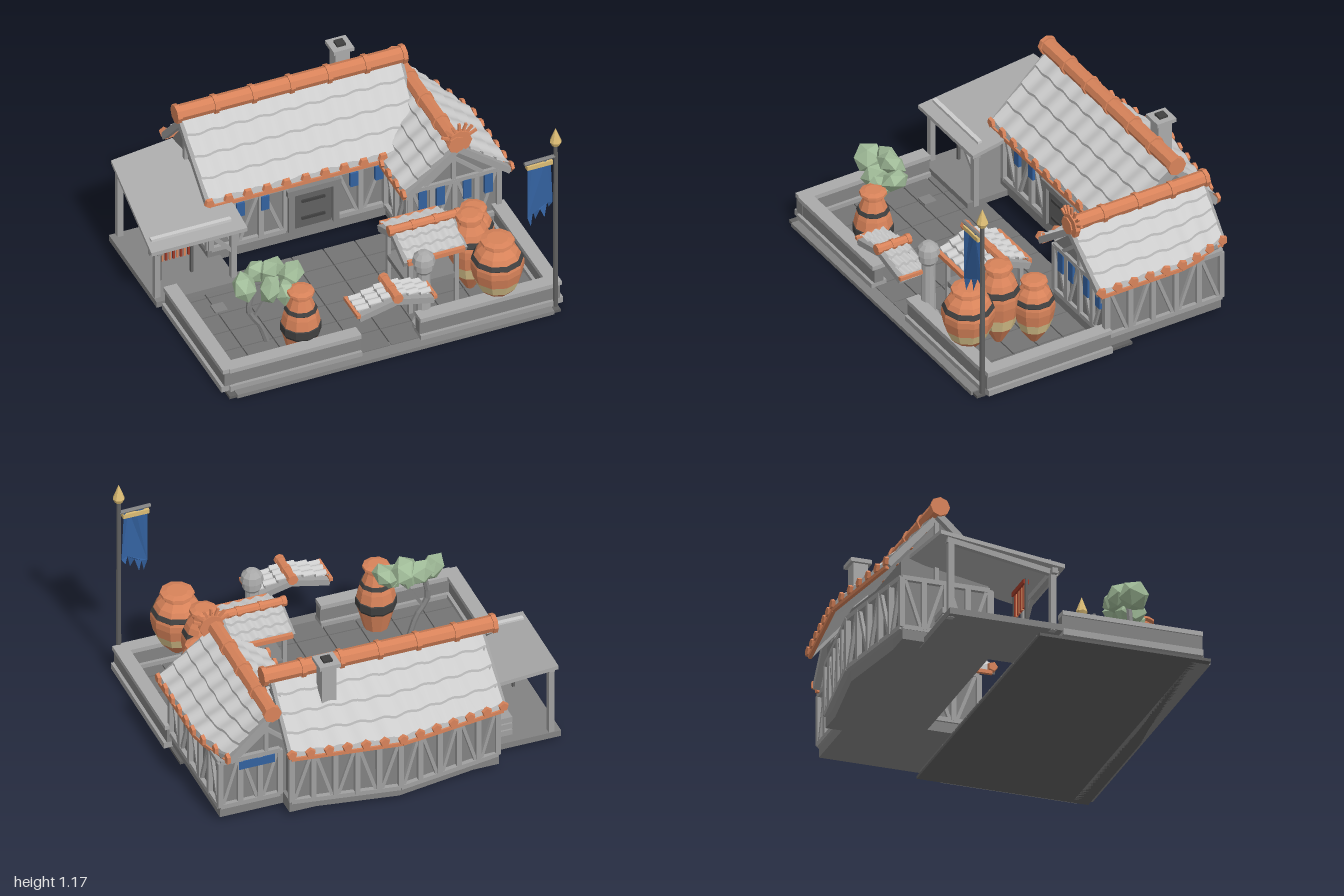
import * as THREE from 'three';

const V = (x, y, z) => new THREE.Vector3(x, y, z);
const GREY = 0xcccccc, TIMBER = 0xa0a0a0, PLASTER = 0x828282, STONE = 0xaaaaaa, PAVING = 0x747474, SLATE = 0x606060, DARK = 0x404040;
const CLAY = 0xd8835a, BEIGE = 0xdcc68e, GOLD = 0xdcbc74, BLUE = 0x33619f, LEAF = 0xa0bb98, RED = 0xa03a28;
const UP = V(0, 1, 0);

export function createModel() {
  const root = new THREE.Group();
  const add = (name, geo, color = GREY, pos = V(0, 0, 0), flat = true) => {
    const mesh = new THREE.Mesh(geo, new THREE.MeshStandardMaterial({ color, flatShading: flat, side: THREE.DoubleSide }));
    mesh.name = name;
    mesh.position.copy(pos);
    root.add(mesh);
    return mesh;
  };
  const box = (name, w, h, d, x, y, z, color) => add(name, new THREE.BoxGeometry(w, h, d), color, V(x, y, z));
  const rod = (name, a, b, r0, r1 = r0, sides = 8, color = SLATE) => {
    const d = b.clone().sub(a);
    const m = add(name, new THREE.CylinderGeometry(r1, r0, d.length(), sides), color, a.clone().lerp(b, 0.5));
    m.quaternion.setFromUnitVectors(UP, d.normalize());
    return m;
  };
  const beam = (name, a, b, t = 0.022, color = TIMBER) => {
    const m = add(name, new THREE.BoxGeometry(t, t, a.distanceTo(b)), color, a.clone().lerp(b, 0.5));
    m.lookAt(b);
    return m;
  };
  const extrude = (pts, depth) => new THREE.ExtrudeGeometry(
    new THREE.Shape(pts.map(p => new THREE.Vector2(...p))), { depth, bevelEnabled: false });

  // Roof slope from ridge to eave, as a function of u (along) and v (down)
  const slope = (r0, r1, e0, e1, bow = () => V(0, 0, 0)) => (u, v) =>
    r0.clone().lerp(r1, u).lerp(e0.clone().lerp(e1, u).add(bow(u)), v);
  // Overlapping rows of wavy tiles with a plain underside
  const tileRoof = (name, f, rows, waves) => {
    const strips = [[[0, -0.025], [1, -0.025]], [[1, -0.025], [1, 0.012]]], pos = [], idx = [], cols = waves * 6;
    for (let i = 0; i < rows; i++) {
      const a = i / rows, b = (i + 1) / rows;
      strips.push([[a, 0], [b, 0.016]], [[b, 0.016], [b, -0.004]]);
    }
    for (const strip of strips) {
      const base = pos.length / 3;
      for (let c = 0; c <= cols; c++) for (const [v, lift] of strip) {
        const p = f(c / cols, v);
        pos.push(p.x, p.y + lift + (lift < -0.02 ? 0 : 0.007 * Math.cos(c / 6 * Math.PI * 2)), p.z);
      }
      for (let c = 0; c < cols; c++) {
        const k = base + c * 2;
        idx.push(k, k + 1, k + 2, k + 1, k + 3, k + 2);
      }
    }
    const g = new THREE.BufferGeometry();
    g.setAttribute('position', new THREE.Float32BufferAttribute(pos, 3));
    g.setIndex(idx);
    g.computeVertexNormals();
    add(name, g, GREY, V(0, 0, 0), false);
    for (const u of [0, 1]) beam(name + 'Verge', f(u, 0).add(V(0, -0.02, 0)), f(u, 1).add(V(0, -0.02, 0)), 0.035);
  };
  // Clay fascia with five-sided tile ends along an eave
  const eaveTrim = (name, f, n, dir, u0 = 0, u1 = 1) => {
    for (let i = 0; i <= n; i++) {
      const at = k => f(u0 + (u1 - u0) * k / n, 1);
      const p = at(i);
      rod(name + 'End', p, p.clone().addScaledVector(dir, 0.018), 0.03, 0.026, 5, CLAY);
      if (i < n) beam(name + 'Fascia', p.clone().setY(p.y - 0.03), at(i + 1).setY(at(i + 1).y - 0.03), 0.02, CLAY);
    }
  };
  const ridge = (name, a, b, r, bands) => {
    rod(name, a, b, r, r, 8, CLAY);
    const d = b.clone().sub(a).normalize().multiplyScalar(0.012);
    for (let i = 0; i <= bands; i++) {
      const p = a.clone().lerp(b, i / bands);
      rod(name + 'Band', p.clone().sub(d), p.clone().add(d), r * 1.18, r * 1.18, 8, CLAY);
    }
  };
  // Timber framing along a wall: posts, rails and alternating braces
  const frame = (name, [ax, az], [bx, bz], bays, y0 = 0.1, y1 = 0.38) => {
    const at = (t, y) => V(ax + (bx - ax) * t, y, az + (bz - az) * t);
    for (const y of [y0, y1]) beam(name + 'Rail', at(0, y), at(1, y), 0.026);
    for (let i = 0; i <= bays; i++) {
      beam(name + 'Post', at(i / bays, y0), at(i / bays, y1), 0.028);
      if (i === bays) break;
      const k = i % 2;
      beam(name + 'Brace', at((i + 0.12 + 0.76 * k) / bays, y1), at((i + 0.88 - 0.76 * k) / bays, y0), 0.018);
    }
  };

  // Courtyard paving
  box('courtyardSlab', 1.86, 0.016, 0.94, 0.01, 0.008, 0.38, SLATE);
  box('frontKerb', 1.78, 0.022, 0.1, 0.01, 0.011, 0.81, PLASTER);
  for (let i = 0; i < 10; i++) for (let j = 0; j < 6; j++)
    box('pavingTile', 0.171, 0.012, 0.141, -0.79 + i * 0.178, 0.02, -0.02 + j * 0.148, PAVING);
  box('drainCover', 0.07, 0.02, 0.07, -0.68, 0.026, 0.16, PLASTER);

  // Low courtyard walls: foot, body and cap
  for (const [x0, z0, x1, z1] of [[-0.9, 0.77, -0.16, 0.77], [0.17, 0.77, 0.93, 0.77], [-0.9, 0.03, -0.9, 0.8], [0.93, 0.05, 0.93, 0.8]])
    for (const [t, y0, y1, color] of [[0.09, 0.015, 0.05, TIMBER], [0.055, 0.05, 0.13, PLASTER], [0.075, 0.13, 0.155, STONE]])
      box('courtyardWall', x1 - x0 || t, y1 - y0, z1 - z0 || t, (x0 + x1) / 2, (y0 + y1) / 2, (z0 + z1) / 2, color);

  // Main house body with a back wall that comes to a shallow point
  const main = extrude([[-0.24, 0.03], [-0.24, 0.45], [-0.53, 0.72], [-0.72, 0.48], [-0.72, 0.03]], 1.12);
  main.rotateY(-Math.PI / 2);
  add('mainHouse', main, PLASTER, V(0.56, 0, 0));
  const back = extrude([[-0.56, 0.7], [0.56, 0.7], [0, 0.79]], 0.41);
  back.rotateX(-Math.PI / 2);
  add('backWall', back, PLASTER, V(0, 0.03, 0));
  box('mainPlinth', 1.16, 0.07, 0.5, 0, 0.065, -0.47, PLASTER);
  frame('backLeftFrame', [-0.57, -0.72], [0, -0.81], 5);
  frame('backRightFrame', [0, -0.81], [0.57, -0.72], 5);
  frame('leftFrame', [-0.57, -0.72], [-0.57, -0.24], 4);
  frame('frontFrame', [-0.56, -0.23], [-0.14, -0.23], 3);
  frame('frontFrame', [0.14, -0.23], [0.42, -0.23], 2);
  beam('gablePost', V(-0.57, 0.38, -0.53), V(-0.57, 0.72, -0.53));

  // House door and blue shutters
  box('houseDoor', 0.2, 0.24, 0.03, 0.01, 0.22, -0.23, SLATE);
  for (const x of [-0.115, 0.135]) box('doorPost', 0.035, 0.25, 0.04, x, 0.22, -0.22, PLASTER);
  box('doorLintel', 0.3, 0.035, 0.05, 0.01, 0.345, -0.22, PLASTER);
  for (const y of [0.16, 0.27]) box('doorStrap', 0.13, 0.015, 0.01, 0.01, y, -0.21, DARK);
  for (const x of [-0.4, -0.26, 0.24, 0.38]) box('shutter', 0.045, 0.085, 0.02, x, 0.325, -0.215, BLUE);

  // Main roof
  const mainFront = slope(V(-0.6, 0.77, -0.53), V(0.63, 0.77, -0.53), V(-0.59, 0.45, -0.18), V(0.6, 0.45, -0.18));
  const mainBack = slope(V(-0.55, 0.77, -0.53), V(0.6, 0.77, -0.53), V(-0.57, 0.46, -0.8), V(0.6, 0.46, -0.8),
    u => V(0, 0, -0.08 * (1 - Math.abs(2 * u - 1))));
  tileRoof('mainRoofFront', mainFront, 4, 9);
  tileRoof('mainRoofBack', mainBack, 4, 9);
  eaveTrim('mainFrontEave', mainFront, 9, V(0, 0, 1), 0, 0.82);
  eaveTrim('mainBackEave', mainBack, 12, V(0, 0, -1));
  ridge('mainRidge', V(-0.62, 0.79, -0.53), V(0.65, 0.79, -0.53), 0.045, 6);

  // Chimney
  box('chimney', 0.08, 0.3, 0.08, 0.34, 0.71, -0.63, STONE);
  box('chimneyCap', 0.115, 0.022, 0.115, 0.34, 0.868, -0.63, STONE);
  box('chimneyFlue', 0.05, 0.02, 0.05, 0.34, 0.882, -0.63, DARK);

  // Side wing
  add('wing', extrude([[0.43, 0.03], [0.92, 0.03], [0.92, 0.4], [0.675, 0.62], [0.43, 0.4]], 0.68), PLASTER, V(0, 0, -0.62));
  box('wingPlinth', 0.51, 0.07, 0.7, 0.675, 0.065, -0.28, PLASTER);
  frame('wingSideFrame', [0.93, 0.06], [0.93, -0.63], 5);
  frame('wingFrontFrame', [0.43, 0.065], [0.93, 0.065], 4);
  frame('wingBackFrame', [0.6, -0.63], [0.93, -0.63], 3);
  frame('wingInnerFrame', [0.42, 0.06], [0.42, -0.22], 2);
  for (const z of [0.065, -0.63]) {
    beam('wingGablePost', V(0.675, 0.38, z), V(0.675, 0.62, z));
    for (const s of [-1, 1]) beam('wingGableBrace', V(0.675 + s * 0.16, 0.39, z), V(0.675, 0.53, z), 0.02);
  }
  for (const x of [0.5, 0.6, 0.75, 0.87]) box('wingShutter', 0.045, 0.12, 0.015, x, 0.31, 0.072, BLUE);
  box('wingBackValance', 0.2, 0.05, 0.02, 0.73, 0.34, -0.635, BLUE);
  const wingRight = slope(V(0.675, 0.65, 0.12), V(0.675, 0.65, -0.67), V(0.97, 0.42, 0.12), V(0.97, 0.42, -0.66),
    u => V(-0.08 * Math.max(0, (u - 0.67) / 0.33), 0, 0));
  const wingLeft = slope(V(0.675, 0.65, 0.12), V(0.675, 0.65, -0.6), V(0.38, 0.42, 0.12), V(0.38, 0.42, -0.6));
  tileRoof('wingRoofRight', wingRight, 4, 6);
  tileRoof('wingRoofLeft', wingLeft, 4, 6);
  eaveTrim('wingRightEave', wingRight, 8, V(1, 0, 0));
  eaveTrim('wingLeftEave', wingLeft, 3, V(-1, 0, 0), 0, 0.4);
  ridge('wingRidge', V(0.665, 0.665, 0.13), V(0.665, 0.665, -0.69), 0.042, 4);

  // Sunburst at the wing ridge end, with rays fanning upward
  const sun = V(0.685, 0.675, 0.122);
  rod('sunburst', sun.clone().setZ(0.11), sun.clone().setZ(0.135), 0.068, 0.068, 8, CLAY);
  for (let i = 0; i < 7; i++) {
    const a = Math.PI * (0.14 + i * 0.12), d = V(Math.cos(a), Math.sin(a), 0);
    beam('sunburstRay', sun.clone().addScaledVector(d, 0.05), sun.clone().addScaledVector(d, 0.108), 0.013, CLAY);
  }

  // Open side porch with a sloping slab roof
  const porch = extrude([[-1, -0.02], [-0.46, -0.02], [-0.46, 0.15], [-0.58, 0.68], [-0.94, 0.64]], 0.022);
  porch.rotateX(-Math.PI / 2);
  const pp = porch.attributes.position;
  for (let i = 0; i < pp.count; i++) pp.setY(i, pp.getY(i) + 0.365 + (0.02 - pp.getZ(i)) * 0.18);
  porch.computeVertexNormals();
  add('porchRoof', porch, STONE);
  box('porchRoofBatten', 0.45, 0.02, 0.025, -0.745, 0.405, -0.06);
  box('porchFloor', 0.46, 0.035, 0.62, -0.74, 0.04, -0.29, PLASTER);
  box('porchFrontBeam', 0.5, 0.03, 0.03, -0.74, 0.35, -0.03, TIMBER);
  beam('porchSideBeam', V(-0.94, 0.35, 0), V(-0.92, 0.46, -0.6), 0.03);
  for (const [x, z, h] of [[-0.95, -0.03, 0.36], [-0.52, -0.03, 0.36], [-0.92, -0.58, 0.46]]) beam('porchPost', V(x, 0.02, z), V(x, h, z), 0.032);
  beam('porchBrace', V(-0.52, 0.22, -0.03), V(-0.64, 0.35, -0.03), 0.02);
  // Hanging wares and a crate under the porch
  box('wareRail', 0.18, 0.025, 0.03, -0.79, 0.315, -0.15, RED);
  for (let i = 0; i < 8; i++) box('hangingWare', 0.011, 0.13, 0.012, -0.865 + i * 0.021, 0.24, -0.15, i % 2 ? RED : CLAY);
  for (const x of [-0.88, -0.7]) beam('wareRackPost', V(x, 0.05, -0.15), V(x, 0.33, -0.15), 0.015, SLATE);
  for (let i = 0; i < 3; i++) box('crate', 0.12, 0.032, 0.1, -0.66, 0.08 + i * 0.04, -0.5, TIMBER);

  // Gate canopy over the front opening
  add('gatePediment', extrude([[-0.18, 0.325], [0.2, 0.325], [0.01, 0.375]], 0.11), STONE, V(0, 0, 0.735));
  for (const [s, x] of [[-1, -0.2], [1, 0.22]]) {
    tileRoof('gateRoof', slope(V(0.01, 0.385, 0.72), V(0.01, 0.385, 0.86), V(x, 0.335, 0.72), V(x, 0.335, 0.86)), 3, 3);
    beam('gateEave', V(x + s * 0.005, 0.335, 0.7), V(x + s * 0.005, 0.335, 0.88), 0.02, CLAY);
  }
  ridge('gateRidge', V(0.01, 0.395, 0.7), V(0.01, 0.395, 0.88), 0.025, 2);

  // Stone lantern pillar
  const lantern = [[0.06, 0.02], [0.06, 0.06], [0.04, 0.08], [0.036, 0.38], [0.05, 0.4], [0.05, 0.44], [0.062, 0.445], [0.055, 0.48], [0.03, 0.505], [0, 0.51]];
  add('stoneLantern', new THREE.LatheGeometry(lantern.map(p => new THREE.Vector2(...p)), 10), STONE, V(0.23, 0, 0.71));

  // Market stall
  for (const s of [-1, 1]) {
    const z = 0.44 + s * 0.17;
    tileRoof('stallRoof', slope(V(0.18, 0.465, 0.44), V(0.5, 0.465, 0.44), V(0.18, 0.39, z), V(0.5, 0.39, z)), 3, 5);
    beam('stallEave', V(0.18, 0.385, z + s * 0.01), V(0.5, 0.385, z + s * 0.01), 0.025, CLAY);
    for (const x of [0.21, 0.47]) beam('stallPost', V(x, 0.02, z - s * 0.03), V(x, 0.39, z - s * 0.03), 0.022);
  }
  ridge('stallRidge', V(0.16, 0.475, 0.44), V(0.54, 0.475, 0.44), 0.024, 3);
  box('stallCounter', 0.28, 0.03, 0.3, 0.34, 0.2, 0.44, PLASTER);
  box('stallShelf', 0.2, 0.015, 0.05, 0.36, 0.3, 0.5, BEIGE);

  // Banded clay jars: [color, profile] sections, scaled by radius and height
  const jar = [[CLAY, [[0, 0], [0.2, 0.02], [0.72, 0.23]]], [BEIGE, [[0.72, 0.23], [0.9, 0.38]]], [CLAY, [[0.9, 0.38], [1, 0.54], [1, 0.63], [0.93, 0.71]]],
    [DARK, [[0.97, 0.67], [0.99, 0.68], [0.9, 0.74], [0.87, 0.74]]], [CLAY, [[0.93, 0.71], [0.78, 0.81], [0.54, 0.89], [0.52, 0.93], [0.66, 0.95], [0.64, 0.98], [0.4, 1], [0, 1]]]];
  const planter = [[CLAY, [[0, 0], [0.6, 0], [0.92, 0.32]]], [DARK, [[0.92, 0.32], [1, 0.36], [1, 0.47], [0.96, 0.48]]],
    [CLAY, [[0.96, 0.48], [0.86, 0.62], [0.5, 0.88], [0.5, 0.93], [0.68, 0.95], [0.66, 0.98], [0.4, 1], [0, 1]]],
    [DARK, [[0.78, 0.68], [0.82, 0.69], [0.74, 0.74], [0.7, 0.74]]]];
  for (const [name, profile, x, z, y, r, h] of [['jarFront', jar, 0.64, 0.72, 0.09, 0.14, 0.39], ['jarMiddle', jar, 0.58, 0.5, 0.02, 0.115, 0.485],
    ['jarBack', jar, 0.67, 0.34, 0.02, 0.11, 0.39], ['planterJar', planter, -0.43, 0.64, 0.02, 0.108, 0.4]])
    for (const [color, pts] of profile)
      add(name, new THREE.LatheGeometry(pts.map(p => new THREE.Vector2(p[0] * r, p[1] * h)), 10), color, V(x, y, z));

  // Small tree with faceted foliage
  const trunk = new THREE.CatmullRomCurve3([V(-0.56, 0.02, 0.5), V(-0.6, 0.14, 0.5), V(-0.66, 0.24, 0.5), V(-0.64, 0.38, 0.5)]);
  add('treeTrunk', new THREE.TubeGeometry(trunk, 8, 0.016, 6), PLASTER);
  beam('treeBranch', V(-0.63, 0.2, 0.5), V(-0.52, 0.38, 0.5), 0.016, PLASTER);
  for (const [x, y, z, r] of [[-0.69, 0.42, 0.51, 0.085], [-0.6, 0.45, 0.45, 0.075], [-0.53, 0.46, 0.47, 0.085], [-0.43, 0.43, 0.51, 0.08], [-0.56, 0.39, 0.54, 0.085], [-0.49, 0.37, 0.57, 0.075]]) {
    const leaf = add('foliage', new THREE.IcosahedronGeometry(r, 0), LEAF, V(x, y, z));
    leaf.scale.y = 0.7;
    leaf.rotation.set(x * 9, z * 11, y * 5);
  }

  // Banner pole with a torn hanging flag, its cloth gently folded
  rod('bannerPole', V(0.928, 0, 0.81), V(0.928, 1.08, 0.81), 0.015, 0.012);
  rod('poleCollar', V(0.928, 1.06, 0.81), V(0.928, 1.085, 0.81), 0.02, 0.032, 8, GOLD);
  rod('poleTip', V(0.928, 1.085, 0.81), V(0.928, 1.17, 0.81), 0.032, 0, 8, GOLD);
  rod('bannerBar', V(0.75, 0.99, 0.815), V(0.928, 0.99, 0.81), 0.011, 0.011, 6, PLASTER);
  const cloth = new THREE.ShapeGeometry(new THREE.Shape([[0.765, 0.985], [0.8, 0.985], [0.835, 0.985], [0.87, 0.985], [0.905, 0.985], [0.915, 0.69],
    [0.895, 0.66], [0.88, 0.7], [0.86, 0.62], [0.84, 0.67], [0.82, 0.6], [0.805, 0.66], [0.785, 0.58], [0.765, 0.64]].map(p => new THREE.Vector2(...p))));
  const cp = cloth.attributes.position;
  for (let i = 0; i < cp.count; i++) cp.setZ(i, 0.014 * Math.sin(cp.getX(i) * 75));
  add('bannerCloth', cloth, BLUE, V(0, 0, 0.81));
  box('bannerTrim', 0.145, 0.025, 0.03, 0.835, 0.965, 0.812, GOLD);
  return root;
}
